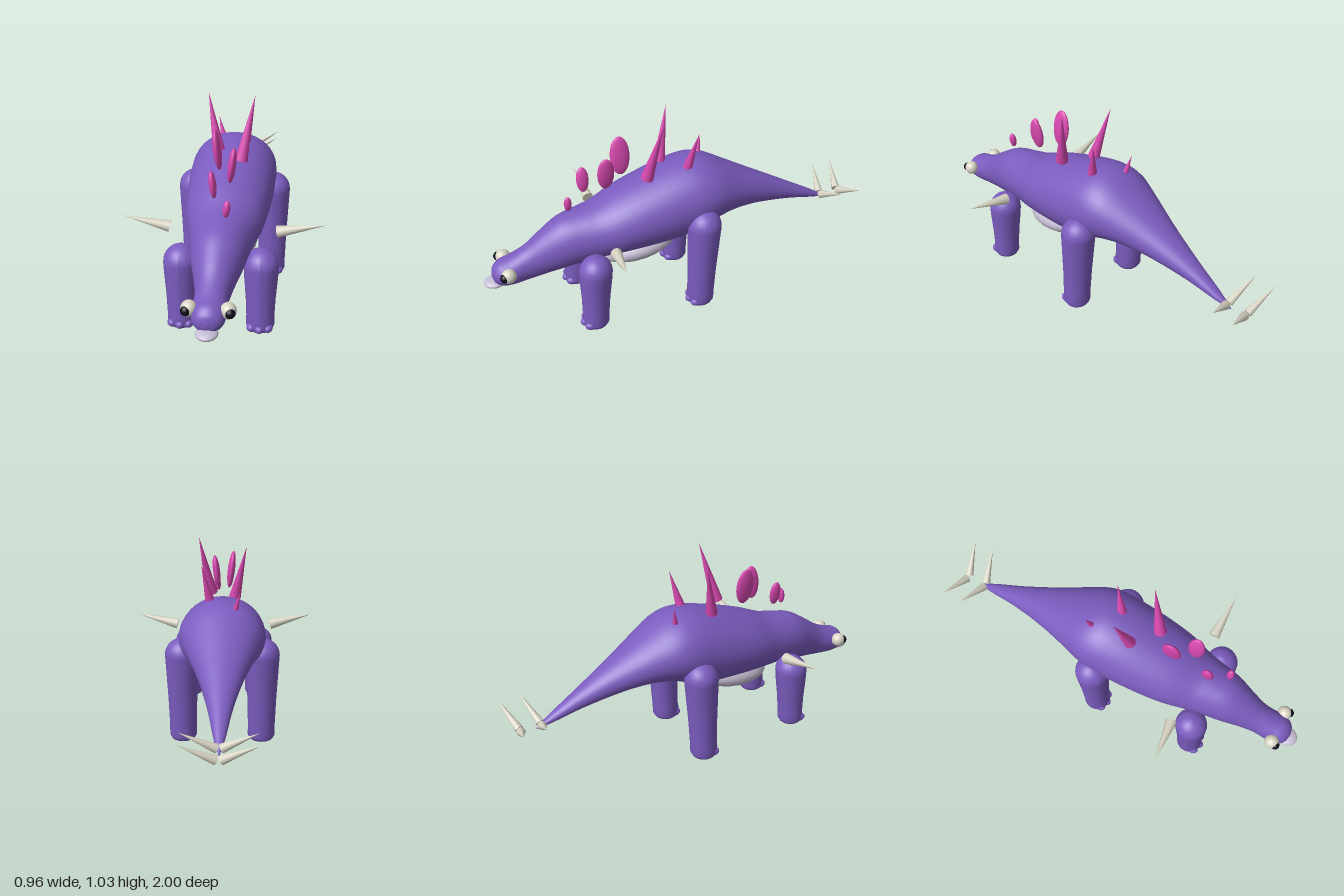
import * as THREE from 'three';

const flat = (name, color) => Object.assign(new THREE.MeshStandardMaterial({ color }), { name });

export function createModel() {
  const purple = flat('purple skin', 0x7b5cbf);
  const pink = flat('pink plates', 0xd949b0);
  const bone = flat('bone', 0xdad6c6);
  const pale = flat('pale belly', 0xc6bed4);
  const black = flat('pupil black', 0x0b0b1a);

  const root = new THREE.Group();
  root.name = 'spikedDinosaur';

  const add = (name, geometry, material, parent = root) => {
    const mesh = new THREE.Mesh(geometry, material);
    mesh.name = name;
    parent.add(mesh);
    return mesh;
  };

  const ellipsoid = (name, material, pos, radii, parent = root) => {
    const mesh = add(name, new THREE.SphereGeometry(1, 24, 16), material, parent);
    mesh.position.set(...pos);
    mesh.scale.set(...radii);
    return mesh;
  };

  // Cone running from the middle of its base to its tip
  const spike = (name, material, base, tip, radius, sides = 10) => {
    const a = new THREE.Vector3(...base), b = new THREE.Vector3(...tip);
    const dir = b.clone().sub(a), length = dir.length();
    const mesh = add(name, new THREE.ConeGeometry(radius, length, sides), material);
    mesh.position.copy(a).add(b).multiplyScalar(0.5);
    mesh.quaternion.setFromUnitVectors(new THREE.Vector3(0, 1, 0), dir.normalize());
    return mesh;
  };

  // Body: elliptical sections [z, bottom, top, half width] from snout to tail
  const sections = [
    [0.955, 0.29, 0.31, 0.008], [0.945, 0.26, 0.34, 0.045], [0.915, 0.242, 0.367, 0.07],
    [0.86, 0.236, 0.385, 0.078], [0.78, 0.243, 0.425, 0.077], [0.7, 0.257, 0.485, 0.093],
    [0.6, 0.277, 0.55, 0.122], [0.5, 0.298, 0.576, 0.141], [0.42, 0.308, 0.595, 0.158],
    [0.3, 0.318, 0.65, 0.19], [0.15, 0.328, 0.706, 0.209], [0, 0.343, 0.753, 0.217],
    [-0.1, 0.375, 0.765, 0.217], [-0.18, 0.412, 0.745, 0.204], [-0.28, 0.434, 0.692, 0.168],
    [-0.4, 0.433, 0.625, 0.125], [-0.52, 0.417, 0.56, 0.088], [-0.66, 0.392, 0.482, 0.053],
    [-0.8, 0.36, 0.402, 0.026], [-0.88, 0.344, 0.352, 0.004],
  ];
  const spine = new THREE.CatmullRomCurve3(sections.map(([z, lo, hi]) => new THREE.Vector3(lo, hi, z)), false, 'centripetal');
  const girth = new THREE.CatmullRomCurve3(sections.map(([z, , , w]) => new THREE.Vector3(w, 0, z)), false, 'centripetal');
  const rings = 76, sides = 36, points = [], index = [];
  for (let i = 0; i <= rings; i++) {
    const p = spine.getPoint(i / rings), w = girth.getPoint(i / rings).x;
    const mid = (p.x + p.y) / 2, h = (p.y - p.x) / 2;
    for (let j = 0; j < sides; j++) {
      const a = (j / sides) * Math.PI * 2;
      points.push(w * Math.cos(a), mid + h * Math.sin(a), p.z);
      if (i < rings) {
        const k = (j + 1) % sides, r0 = i * sides, r1 = r0 + sides;
        index.push(r0 + j, r0 + k, r1 + j, r0 + k, r1 + k, r1 + j);
      }
    }
  }
  // End caps
  const noseTip = points.length / 3;
  points.push(0, 0.3, 0.957, 0, 0.348, -0.882);
  for (let j = 0; j < sides; j++) {
    const k = (j + 1) % sides, last = rings * sides;
    index.push(noseTip, j, k, noseTip + 1, last + k, last + j);
  }
  // Orient every face outward
  for (let t = 0; t < index.length; t += 3) [index[t + 1], index[t + 2]] = [index[t + 2], index[t + 1]];
  const bodyGeometry = new THREE.BufferGeometry();
  bodyGeometry.setAttribute('position', new THREE.Float32BufferAttribute(points, 3));
  const outward = (() => {
    const v = (n) => new THREE.Vector3(...points.slice(n * 3, n * 3 + 3));
    const s = (rings >> 1) * sides * 6;
    const [a, b, c] = [v(index[s]), v(index[s + 1]), v(index[s + 2])];
    return b.sub(a).cross(c.sub(a)).x > 0;
  })();
  if (!outward) index.reverse();
  // Caps share the winding rule of the first and last rings
  const capStart = outward ? index.length - sides * 6 : 0;
  for (let t = capStart; t < capStart + sides * 6; t += 3) {
    const tri = [index[t], index[t + 1], index[t + 2]];
    const [a, b, c] = tri.map((n) => new THREE.Vector3(...points.slice(n * 3, n * 3 + 3)));
    const isNose = tri.includes(noseTip);
    const nz = b.sub(a).cross(c.sub(a)).z;
    if (isNose ? nz < 0 : nz > 0) [index[t + 1], index[t + 2]] = [tri[2], tri[1]];
  }
  bodyGeometry.setIndex(index);
  bodyGeometry.computeVertexNormals();
  add('body', bodyGeometry, purple);

  // Belly and lower lip
  ellipsoid('belly', pale, [0, 0.335, 0.2], [0.15, 0.08, 0.22]).rotation.x = 0.17;
  ellipsoid('lowerLip', pale, [0, 0.256, 0.945], [0.05, 0.02, 0.055]);

  // Legs: tapered, dome-topped columns whose feet reach forward into three toes
  const leg = (name, x, z, top, radius, side) => {
    const group = new THREE.Group();
    group.name = name;
    group.position.set(x * side, 0, z);
    root.add(group);
    const outline = [[0, 0.008], [0.72, 0.008], [0.82, 0.025], [0.81, 0.07], [0.86, top * 0.4], [0.97, top - radius * 1.6]]
      .map(([r, y]) => new THREE.Vector2(r * radius, y));
    for (let i = 0; i <= 8; i++) {
      const a = (i / 8) * Math.PI / 2;
      outline.push(new THREE.Vector2(Math.max(0, Math.cos(a)) * radius, top - radius + Math.sin(a) * radius));
    }
    const geometry = new THREE.LatheGeometry(outline, 24);
    // Lean the lower leg slightly forward
    const pos = geometry.attributes.position;
    for (let i = 0; i < pos.count; i++) pos.setZ(i, pos.getZ(i) + 0.02 * (1 - pos.getY(i) / top));
    geometry.computeVertexNormals();
    add('column', geometry, purple, group);
    for (const t of [-1, 0, 1]) {
      ellipsoid('toe', purple, [t * 0.04, 0.027, 0.07 - Math.abs(t) * 0.014], [0.023, 0.022, 0.03], group);
    }
  };

  for (const side of [1, -1]) {
    const label = side > 0 ? 'left' : 'right';
    leg(label + 'FrontLeg', 0.19, 0.472, 0.417, 0.083, side);
    leg(label + 'HindLeg', 0.203, -0.092, 0.562, 0.086, side);

    // Eyes
    ellipsoid(label + 'Eye', bone, [0.085 * side, 0.336, 0.882], [0.036, 0.037, 0.037]);
    ellipsoid(label + 'Pupil', black, [0.095 * side, 0.336, 0.905], [0.023, 0.023, 0.022]);

    // Shoulder and tail spikes
    spike(label + 'ShoulderSpike', bone, [0.256 * side, 0.467, 0.386], [0.482 * side, 0.521, 0.402], 0.029);
    spike(label + 'FrontTailSpike', bone, [0.012 * side, 0.365, -0.858], [0.17 * side, 0.455, -0.892], 0.022);
    spike(label + 'RearTailSpike', bone, [0.012 * side, 0.368, -0.963], [0.17 * side, 0.455, -1.0], 0.022);
  }

  // Oval neck plates [x, y, z, rx, ry, rz], alternating sides
  [
    [0.037, 0.652, 0.555, 0.017, 0.041, 0.019],
    [-0.038, 0.725, 0.458, 0.017, 0.066, 0.031],
    [0.039, 0.781, 0.36, 0.019, 0.087, 0.042],
    [-0.042, 0.818, 0.264, 0.019, 0.1, 0.05],
  ].forEach(([x, y, z, ...radii]) => {
    ellipsoid('neckPlate', pink, [x, y, z], radii).rotation.z = x > 0 ? -0.12 : 0.12;
  });

  // Back spikes [base, tip, radius], alternating sides
  [
    [[0.06, 0.725, 0.16], [0.12, 1.037, 0.09], 0.032],
    [[-0.062, 0.735, 0.055], [-0.118, 1.013, -0.003], 0.03],
    [[0.06, 0.74, -0.05], [0.1, 0.937, -0.092], 0.025],
    [[-0.065, 0.735, -0.153], [-0.088, 0.832, -0.172], 0.015],
    [[0.045, 0.68, -0.242], [0.052, 0.705, -0.256], 0.008],
  ].forEach(([base, tip, radius]) => spike('backSpike', pink, base, tip, radius, 14));

  return root;
}
